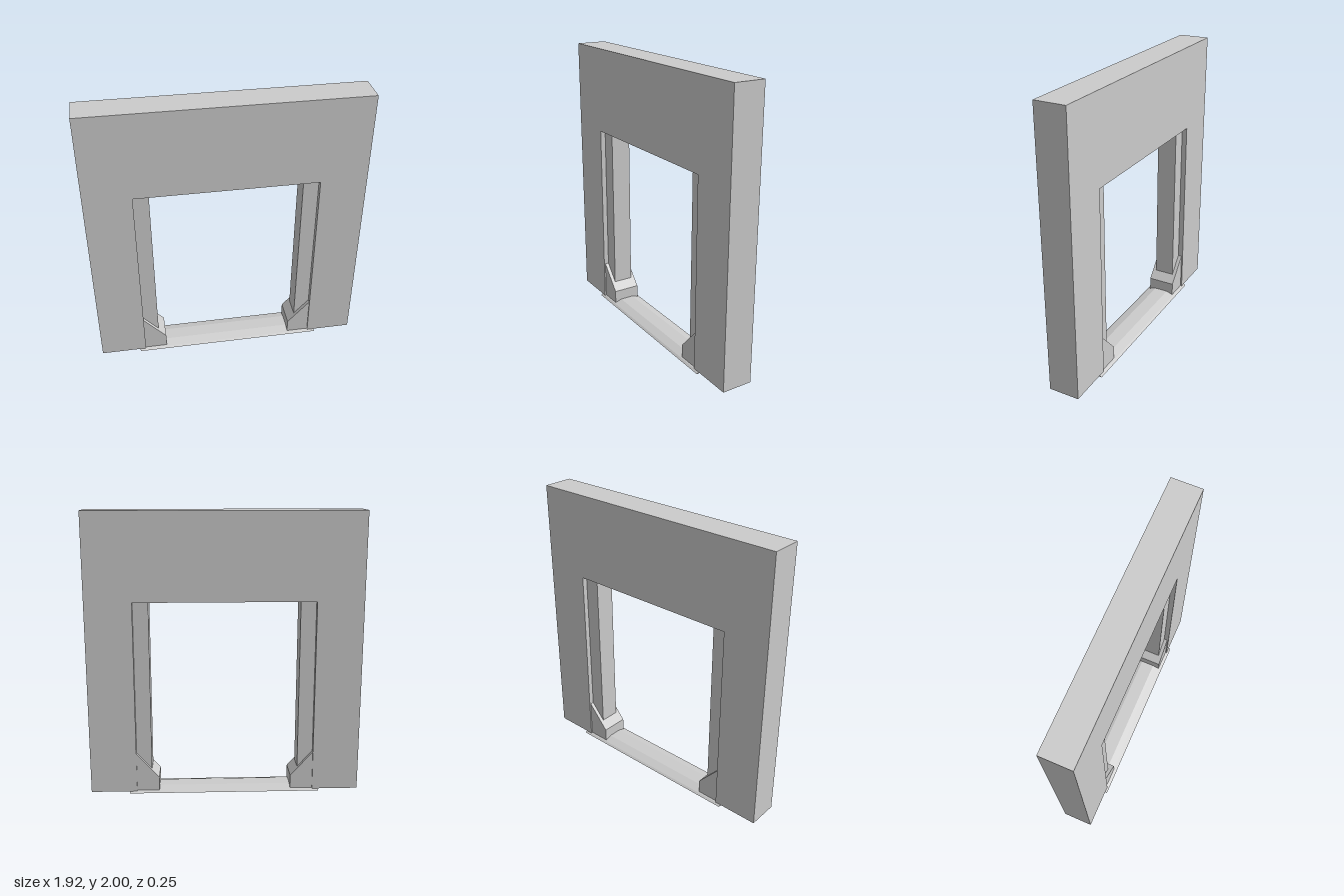
import * as THREE from 'three';

const material = new THREE.MeshStandardMaterial({ color: 0xcccccc, flatShading: true });

// Extrudes an outline of [x, y] points, centred on z = 0
function slab(name, points, depth) {
  const shape = new THREE.Shape(points.map(([x, y]) => new THREE.Vector2(x, y)));
  const geometry = new THREE.ExtrudeGeometry(shape, { depth, bevelEnabled: false });
  geometry.translate(0, 0, -depth / 2);
  const mesh = new THREE.Mesh(geometry, material);
  mesh.name = name;
  return mesh;
}

export function createModel() {
  const model = new THREE.Group();
  model.name = 'doorway';

  // Wall with an opening down to the floor
  model.add(slab('wall', [
    [-0.96, 0.01], [-0.633, 0.01], [-0.633, 1.385], [0.633, 1.385],
    [0.633, 0.01], [0.96, 0.01], [0.96, 2], [-0.96, 2],
  ], 0.22));

  for (const side of [-1, 1]) {
    const name = side > 0 ? 'left' : 'right';

    // Recessed jamb lining the side of the opening
    const jamb = new THREE.Mesh(new THREE.BoxGeometry(0.108, 1.375, 0.146), material);
    jamb.name = name + 'Jamb';
    jamb.position.set(side * 0.579, 0.6975, 0);
    model.add(jamb);

    // Sloped guard block at the foot of the jamb
    const foot = slab(name + 'FootGuard', [
      [-0.08, 0.01], [0.08, 0.01], [0.08, 0.29], [-0.08, 0.11],
    ], 0.2);
    foot.position.x = side * 0.553;
    if (side < 0) foot.rotation.y = Math.PI;
    model.add(foot);
  }

  // Threshold with ramped front and back, profile drawn in z and y
  const sill = slab('threshold', [
    [-0.125, 0], [0.125, 0], [0.11, 0.01], [0.05, 0.03], [-0.05, 0.03], [-0.11, 0.01],
  ], 1.36);
  sill.rotation.y = Math.PI / 2;
  sill.position.x = 0.005;
  model.add(sill);

  return model;
}
